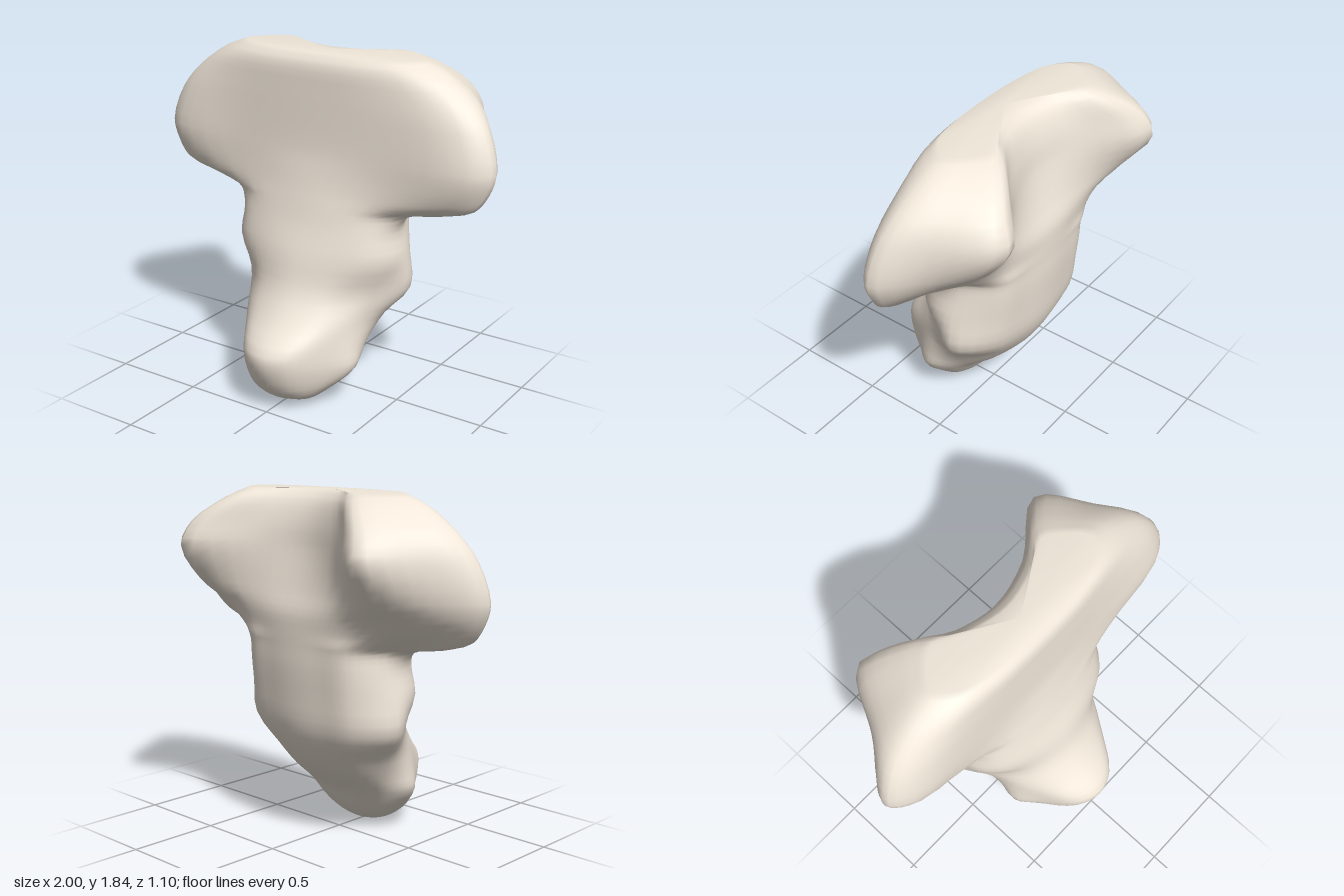
import * as THREE from 'three';

// Each section: y, front z, back centre z, then [x, z] of
// front, front corner, side, rear side and rear lobe
const body = [
  [0.005, 0.28, 0.18, [0.04, 0.27], [0.055, 0.26], [0.06, 0.24], [0.055, 0.22], [0.04, 0.2]],
  [0.03, 0.37, 0.13, [0.09, 0.34], [0.13, 0.3], [0.14, 0.25], [0.13, 0.19], [0.09, 0.15]],
  [0.1, 0.465, 0.05, [0.12, 0.43], [0.2, 0.34], [0.23, 0.24], [0.21, 0.13], [0.14, 0.08]],
  [0.23, 0.535, -0.04, [0.13, 0.49], [0.26, 0.33], [0.35, 0.2], [0.3, 0.08], [0.2, 0.0]],
  [0.34, 0.545, -0.17, [0.13, 0.5], [0.26, 0.33], [0.35, 0.18], [0.33, 0.02], [0.24, -0.1]],
  [0.47, 0.42, -0.27, [0.17, 0.37], [0.29, 0.26], [0.355, 0.14], [0.39, -0.04], [0.27, -0.2]],
  [0.62, 0.31, -0.335, [0.19, 0.265], [0.31, 0.18], [0.41, 0.07], [0.505, -0.1], [0.35, -0.27]],
  [0.8, 0.255, -0.355, [0.22, 0.225], [0.39, 0.155], [0.485, 0.04], [0.495, -0.1], [0.35, -0.295]],
  [0.95, 0.2, -0.365, [0.25, 0.175], [0.4, 0.115], [0.475, 0.01], [0.46, -0.13], [0.35, -0.31]],
  [1.04, 0.175, -0.365, [0.3, 0.14], [0.45, 0.07], [0.53, -0.02], [0.46, -0.14], [0.35, -0.315]],
];
const head = [
  [1.08, 0.165, -0.365, [0.34, 0.125], [0.58, 0.045], [0.72, -0.03], [0.53, -0.13], [0.36, -0.32]],
  [1.14, 0.15, -0.365, [0.37, 0.112], [0.77, 0.05], [0.9, -0.015], [0.67, -0.14], [0.41, -0.31]],
  [1.23, 0.13, -0.36, [0.41, 0.1], [0.85, 0.066], [0.968, -0.025], [0.77, -0.19], [0.51, -0.33]],
  [1.34, 0.11, -0.32, [0.45, 0.094], [0.88, 0.073], [1.0, -0.03], [0.82, -0.23], [0.61, -0.42]],
  [1.53, 0.1, -0.265, [0.45, 0.085], [0.83, 0.045], [0.94, -0.05], [0.81, -0.27], [0.62, -0.55]],
  [1.66, 0.095, -0.245, [0.4, 0.08], [0.73, 0.022], [0.84, -0.08], [0.74, -0.29], [0.58, -0.5]],
  [1.78, 0.085, -0.2, [0.34, 0.07], [0.56, 0.015], [0.67, -0.1], [0.59, -0.25], [0.45, -0.375]],
  [1.835, 0.045, -0.14, [0.28, 0.03], [0.44, -0.01], [0.53, -0.11], [0.46, -0.21], [0.36, -0.27]],
];

const AROUND = 56, STEPS = 3;

// Smooth, mirrored closed outline of one section
function outline([y, front, back, ...side]) {
  const [lobeX, lobeZ] = side[4];
  const half = [...side, [lobeX * 0.5, back + (lobeZ - back) * 0.28]];
  const pts = [[0, front], ...half, [0, back], ...half.map(([x, z]) => [-x, z]).reverse()];
  const curve = new THREE.CatmullRomCurve3(
    pts.map(([x, z]) => new THREE.Vector3(x, y, z)), true, 'centripetal');
  return Array.from({ length: AROUND }, (_, j) => curve.getPoint(j / AROUND));
}

// Skin the sections with a smooth surface and close both ends
function loft(sections, bottom, top) {
  const rings = sections.map(outline);
  const rows = (rings.length - 1) * STEPS;
  const columns = rings[0].map((_, j) =>
    new THREE.CatmullRomCurve3(rings.map(r => r[j]), false, 'centripetal'));
  const positions = [], index = [];
  for (let i = 0; i <= rows; i++)
    for (const c of columns) positions.push(...c.getPoint(i / rows).toArray());
  const low = positions.length / 3, high = low + 1;
  positions.push(...bottom, ...top);
  for (let j = 0; j < AROUND; j++) {
    const k = (j + 1) % AROUND;
    for (let i = 0; i < rows; i++) {
      const a = i * AROUND + j, b = i * AROUND + k;
      index.push(a, b, b + AROUND, a, b + AROUND, a + AROUND);
    }
    index.push(low, k, j, high, rows * AROUND + j, rows * AROUND + k);
  }
  const geometry = new THREE.BufferGeometry();
  geometry.setAttribute('position', new THREE.Float32BufferAttribute(positions, 3));
  geometry.setIndex(index);
  geometry.computeVertexNormals();
  return geometry;
}

export function createModel() {
  const group = new THREE.Group();
  group.name = 'bone';
  // Tapered stem flowing into a broad head with two rear lobes
  const bone = new THREE.Mesh(
    loft([...body, ...head], [0, 0, 0.24], [0, 1.84, -0.06]),
    new THREE.MeshStandardMaterial({ color: 0xf0e6d9 }));
  bone.name = 'stemAndWingedHead';
  group.add(bone);
  return group;
}
